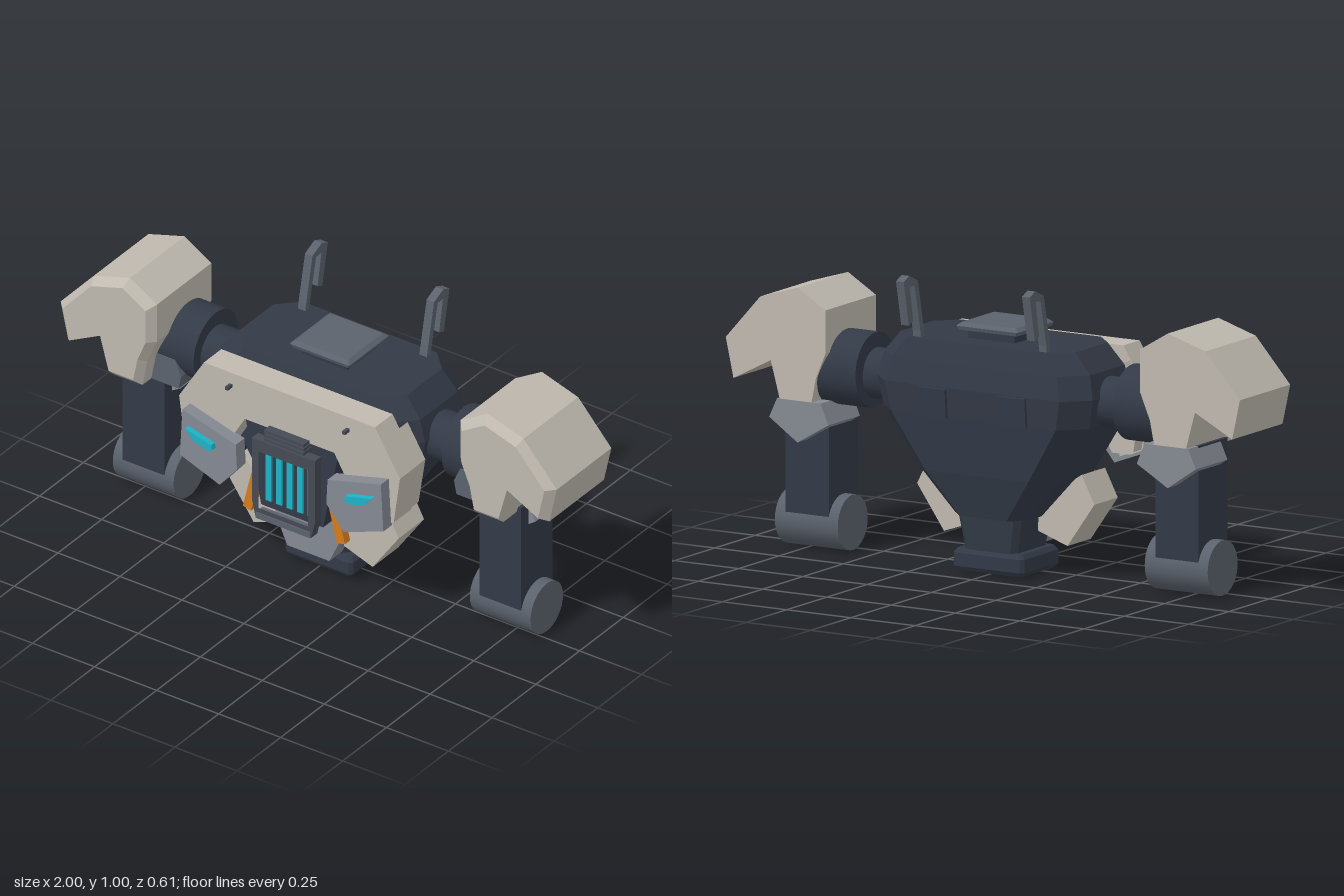
import * as THREE from 'three';

const mat = (name, color) => {
  const m = new THREE.MeshStandardMaterial({ color });
  m.name = name;
  return m;
};

export function createModel() {
  const root = new THREE.Group();
  root.name = 'mechTorso';

  const beige = mat('beigeArmor', 0xbfb9af);
  const navy = mat('navyFrame', 0x333a47);
  const slate = mat('slateMetal', 0x5b626d);
  const grey = mat('greyPlate', 0x858992);
  const gunmetal = mat('gunmetal', 0x454a54);
  const cyan = mat('cyanGlow', 0x1cb4c8);
  const orange = mat('orangePiston', 0xd47c1e);

  const add = (name, geo, material, parent = root) => {
    const mesh = new THREE.Mesh(geo, material);
    mesh.name = name;
    parent.add(mesh);
    return mesh;
  };

  // Box given by its minimum and maximum corners
  const box = (x0, x1, y0, y1, z0, z1) =>
    new THREE.BoxGeometry(x1 - x0, y1 - y0, z1 - z0)
      .translate((x0 + x1) / 2, (y0 + y1) / 2, (z0 + z1) / 2);

  // Outline in x/y, mirrored by s, pushed from z0 to z1
  const outline = (pts, s = 1) => new THREE.Shape(pts.map(([x, y]) => new THREE.Vector2(x * s, y)));
  const prism = (pts, z0, z1, s = 1, steps = 1) =>
    new THREE.ExtrudeGeometry(outline(pts, s), { depth: z1 - z0, steps, bevelEnabled: false })
      .translate(0, 0, z0);
  const mirrored = (half) => [...half, ...half.map(([x, y]) => [-x, y]).reverse()];

  // Stack of chamfered rectangles, bottom to top: [y, halfWidth, zBack, zFront, chamfer]
  const loft = (levels) => {
    const rings = levels.map(([y, w, b, f, c]) => [
      [w, b + c], [w, f - c], [w - c, f], [c - w, f],
      [-w, f - c], [-w, b + c], [c - w, b], [w - c, b],
    ].map(([x, z]) => [x, y, z]));
    const pos = [];
    const tri = (...p) => p.forEach((v) => pos.push(...v));
    for (let i = 0; i < 8; i++) {
      const k = (i + 1) % 8;
      for (let j = 0; j + 1 < rings.length; j++) {
        const lo = rings[j], hi = rings[j + 1];
        tri(lo[i], hi[i], lo[k]);
        tri(lo[k], hi[i], hi[k]);
      }
      const bottom = rings[0], top = rings[rings.length - 1];
      if (i > 0 && i < 7) {
        tri(top[0], top[k], top[i]);
        tri(bottom[0], bottom[i], bottom[k]);
      }
    }
    const g = new THREE.BufferGeometry();
    g.setAttribute('position', new THREE.Float32BufferAttribute(pos, 3));
    g.computeVertexNormals();
    return g;
  };

  // Torso core, waist and base
  add('torsoCore', loft([
    [0.2, 0.14, -0.18, 0.1, 0.05],
    [0.35, 0.28, -0.22, 0.14, 0.08],
    [0.54, 0.4, -0.24, 0.14, 0.08],
    [0.64, 0.42, -0.25, 0.14, 0.08],
    [0.72, 0.4, -0.235, 0.14, 0.08],
    [0.79, 0.34, -0.22, 0.12, 0.07],
  ]), navy);
  add('waist', loft([[0.07, 0.1, -0.145, 0.06, 0.02], [0.24, 0.13, -0.16, 0.08, 0.02]]), navy);
  add('waistBase', loft([
    [0.01, 0.125, -0.145, 0.07, 0.01],
    [0.025, 0.137, -0.155, 0.08, 0.012],
    [0.07, 0.137, -0.155, 0.08, 0.012],
    [0.085, 0.125, -0.145, 0.07, 0.01],
  ]), navy);

  // Top hatch
  add('hatchNeck', box(-0.09, 0.09, 0.78, 0.825, -0.13, 0.04), navy);
  add('hatch', loft([
    [0.82, 0.115, -0.155, 0.065, 0.004],
    [0.833, 0.12, -0.16, 0.07, 0.004],
    [0.845, 0.105, -0.145, 0.055, 0.004],
  ]), slate);

  // Chest armour, notched for the grille
  add('chestPlate', prism(mirrored([
    [0.345, 0.765], [0.445, 0.6], [0.42, 0.42], [0.37, 0.4], [0.3, 0.4], [0.18, 0.605],
  ]), 0.14, 0.24), beige);
  add('chestCore', prism(mirrored([[0.19, 0.61], [0.125, 0.285]]), 0.1, 0.225), navy);
  add('abdomenPlate', prism(mirrored([[0.1, 0.3], [0.135, 0.2], [0.085, 0.09]]), 0.03, 0.132), grey);

  // Front grille with glowing slits
  const frame = outline(mirrored([[0.127, 0.57], [0.127, 0.33], [0.112, 0.265]]));
  frame.holes.push(new THREE.Path([[-0.1, 0.305], [-0.1, 0.525], [0.1, 0.525], [0.1, 0.305]]
    .map(([x, y]) => new THREE.Vector2(x, y))));
  add('grilleFrame', new THREE.ExtrudeGeometry(frame, { depth: 0.035, bevelEnabled: false })
    .translate(0, 0, 0.24), gunmetal);
  add('grilleBack', box(-0.115, 0.115, 0.29, 0.55, 0.21, 0.233), navy);
  add('grilleSill', box(-0.11, 0.11, 0.265, 0.287, 0.238, 0.279), slate);
  for (let i = -2; i <= 2; i++) {
    add('grilleSlit', box(i * 0.042 - 0.011, i * 0.042 + 0.011, 0.32, 0.515, 0.232, 0.241), cyan);
  }
  for (let i = 0; i < 3; i++) {
    add('grilleVent', box(-0.08, 0.08, 0.573 + i * 0.016, 0.584 + i * 0.016, 0.225, 0.272), gunmetal);
  }
  add('ventBack', box(-0.075, 0.075, 0.565, 0.615, 0.22, 0.26), navy);

  for (const s of [1, -1]) {
    const side = new THREE.Group();
    side.name = s > 0 ? 'leftSide' : 'rightSide';
    root.add(side);
    const sideBox = (x0, x1, ...rest) => box(Math.min(x0 * s, x1 * s), Math.max(x0 * s, x1 * s), ...rest);

    // Chest flank, lamp plate and lamp
    add('chestFlank', prism([[0.37, 0.717], [0.442, 0.598], [0.415, 0.422], [0.36, 0.402], [0.36, 0.6]],
      0.09, 0.238, s), beige, side);
    add('lampPlate', prism([[0.4, 0.585], [0.185, 0.525], [0.18, 0.43], [0.25, 0.345], [0.41, 0.405]],
      0.235, 0.285, s), grey, side);
    add('lamp', prism([[0.375, 0.53], [0.27, 0.502], [0.265, 0.485], [0.285, 0.475], [0.345, 0.495]],
      0.284, 0.305, s), cyan, side);
    add('chestBolt', sideBox(0.23, 0.242, 0.71, 0.722, 0.235, 0.266), gunmetal, side);

    // Piston and hip plate below the chest
    const piston = add('piston', new THREE.BoxGeometry(0.034, 0.145, 0.03), orange, side);
    piston.position.set(0.172 * s, 0.31, 0.2);
    piston.rotation.z = -0.24 * -s;
    add('hipPlate', prism([[0.345, 0.26], [0.295, 0.355], [0.13, 0.25], [0.125, 0.15], [0.24, 0.11]],
      -0.04, 0.105, s), beige, side);

    // Back panel and hooked antenna
    const panel = add('backPanel', new THREE.BoxGeometry(0.11, 0.1, 0.02), navy, side);
    panel.position.set(0.155 * s, 0.587, -0.246);
    panel.rotation.x = -0.08;
    add('antenna', prism([
      [-0.175, 0.78], [-0.18, 0.81], [-0.218, 0.984], [-0.271, 1.007], [-0.306, 0.992],
      [-0.274, 0.84], [-0.247, 0.851], [-0.269, 0.97], [-0.239, 0.97], [-0.202, 0.81], [-0.2, 0.78],
    ], -0.015, 0.015).rotateY(-Math.PI / 2).translate(0.245 * s, 0, 0), slate, side);

    // Shoulder joint
    const drum = (name, r, x0, x1, y, z, m) => add(name, new THREE.CylinderGeometry(r, r, x1 - x0, 32)
      .rotateZ(Math.PI / 2).translate(s * (x0 + x1) / 2, y, z), m, side);
    drum('shoulderAxle', 0.085, 0.36, 0.52, 0.615, -0.045, navy);
    drum('shoulderDrum', 0.127, 0.5, 0.68, 0.625, -0.048, navy);
    add('jointCover', prism([[0.56, 0.5], [0.55, 0.55], [0.575, 0.605], [0.66, 0.605], [0.67, 0.5]],
      -0.02, 0.08, s), slate, side);

    // Shoulder armour: the front face is drawn in to form a bevel
    const armor = prism([
      [1, 0.705], [0.866, 0.855], [0.72, 0.9], [0.612, 0.835], [0.612, 0.69],
      [0.65, 0.6], [0.67, 0.5], [0.785, 0.5], [0.825, 0.645], [0.97, 0.57],
    ], 0, 1, s, 2);
    const p = armor.attributes.position;
    for (let i = 0; i < p.count; i++) {
      const z = p.getZ(i);
      const k = z > 0.75 ? 0.86 : 1;
      p.setXYZ(i, s * 0.79 + (p.getX(i) - s * 0.79) * k, 0.7 + (p.getY(i) - 0.7) * k,
        z > 0.75 ? 0.16 : z > 0.25 ? 0.13 : -0.182);
    }
    armor.computeVertexNormals();
    add('shoulderArmor', armor, beige, side);

    // Upper arm, its cuff and the elbow
    add('upperArm', sideBox(0.635, 0.803, 0.12, 0.52, -0.125, 0.055), navy, side);
    add('armCuff', prism([[0.8, 0.52], [0.83, 0.455], [0.72, 0.38], [0.6, 0.45], [0.63, 0.52]],
      -0.184, 0.012, s), grey, side);
    drum('elbow', 0.093, 0.597, 0.842, 0.1, -0.037, slate);
  }

  return root;
}
